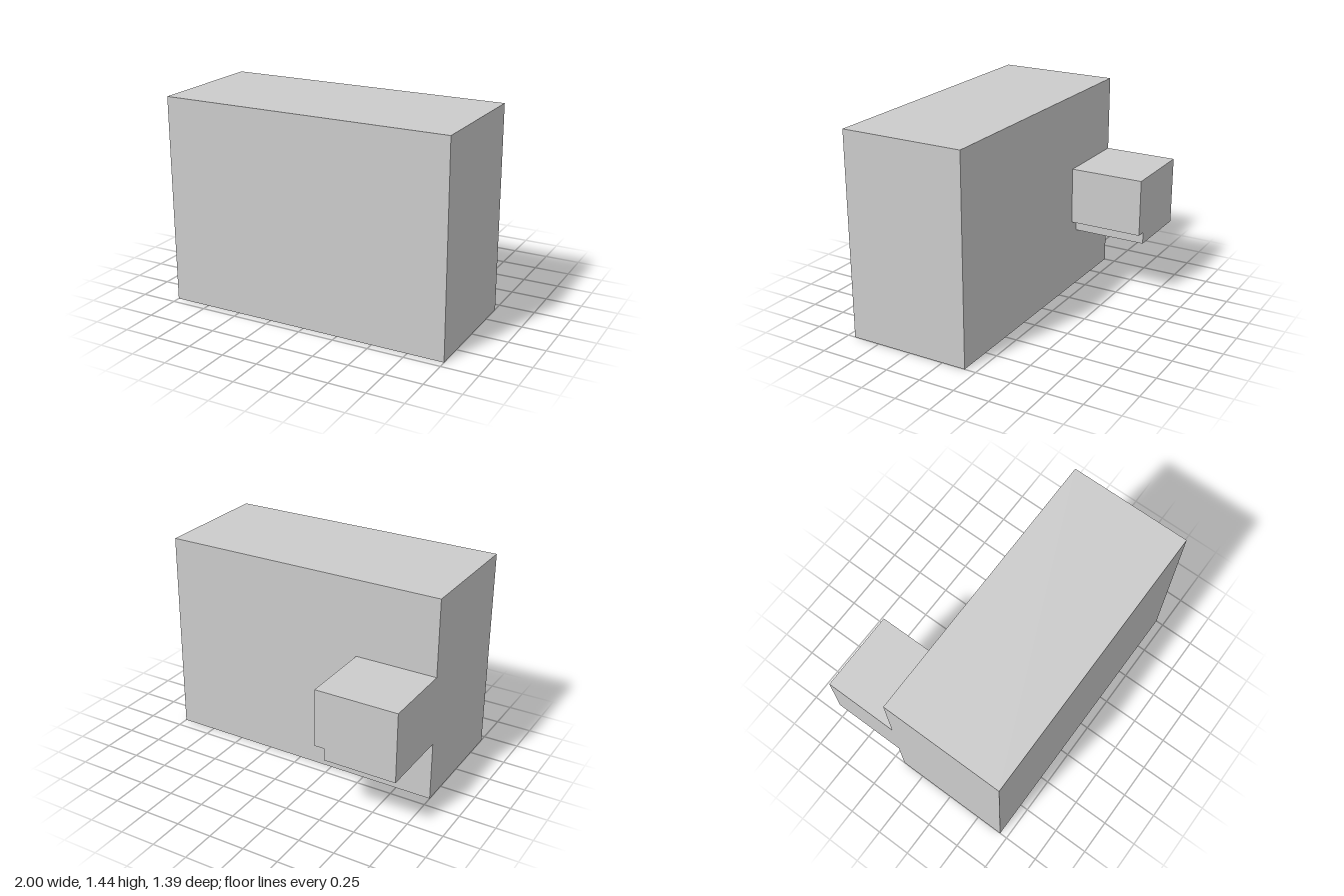
import * as THREE from 'three';

export function createModel() {
  const group = new THREE.Group();
  const material = new THREE.MeshStandardMaterial({ color: 0xcccccc, flatShading: true });

  function addPart(name, geometry, x, y, z) {
    const mesh = new THREE.Mesh(geometry, material);
    mesh.name = name;
    mesh.position.set(x, y, z);
    group.add(mesh);
  }

  const backZ = -0.169; // back face of the main body
  const rearZ = -0.694; // far end of the rear block
  const frontZ = 0.694;
  const height = 1.436;

  // Main body
  const depth = frontZ - backZ;
  addPart('body', new THREE.BoxGeometry(2, height, depth), 0, height / 2, (frontZ + backZ) / 2);

  // Rear block, flush with one side, with a step cut from its lower inner edge
  const profile = new THREE.Shape([
    [-1, 0.42], [-0.498, 0.42], [-0.498, 0.504],
    [-0.428, 0.504], [-0.428, 0.903], [-1, 0.903],
  ].map(([x, y]) => new THREE.Vector2(x, y)));
  const block = new THREE.ExtrudeGeometry(profile, { depth: backZ - rearZ, bevelEnabled: false });
  addPart('rearBlock', block, 0, 0, rearZ);

  return group;
}
